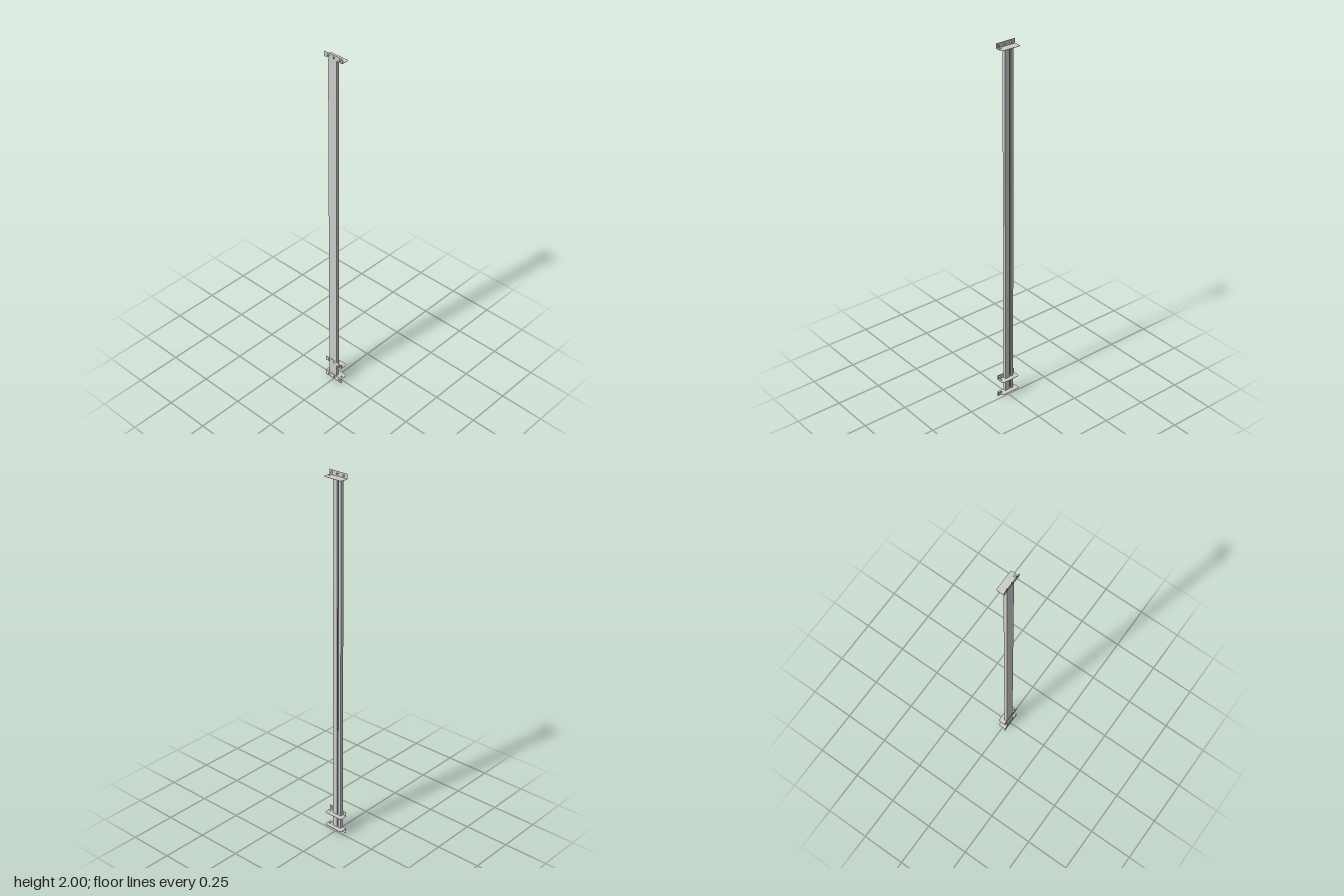
import * as THREE from 'three';

const material = new THREE.MeshStandardMaterial({ color: 0xcccccc, side: THREE.DoubleSide });
const T = 0.0015;         // sheet thickness
const BACK = -0.022;      // rear face of the flanges
const HALF = 0.056;       // half length of a bracket
const HOOKS = [-0.032, 0.005, 0.042];

function part(name, geometry) {
  const mesh = new THREE.Mesh(geometry, material);
  mesh.name = name;
  return mesh;
}

// Extrude an outline given as [x, z] upwards from y0 by height h
function extrudeUp(shape, y0, h) {
  return new THREE.ExtrudeGeometry(shape, { depth: h, bevelEnabled: false, curveSegments: 8 })
    .rotateX(-Math.PI / 2).translate(0, y0, 0);
}

function outline(points) {
  return new THREE.Shape(points.map(([x, z]) => new THREE.Vector2(x, -z)));
}

// Horizontal plate with two rounded corners and one bolt hole
function plate(y) {
  const r = 0.01, x1 = 0.022;
  const s = new THREE.Shape();
  s.moveTo(BACK, -HALF);
  s.lineTo(x1 - r, -HALF);
  s.absarc(x1 - r, -HALF + r, r, -Math.PI / 2, 0, false);
  s.lineTo(x1, HALF - r);
  s.absarc(x1 - r, HALF - r, r, 0, Math.PI / 2, false);
  s.lineTo(BACK, HALF);
  s.closePath();
  s.holes.push(new THREE.Path().absarc(-0.006, -0.044, 0.005, 0, Math.PI * 2, true));
  return part('plate', extrudeUp(s, y, T));
}

// Upright flange with a window for every hook
function flange(y0, y1) {
  const s = new THREE.Shape();
  s.moveTo(-HALF, y0);
  s.lineTo(HALF, y0);
  s.lineTo(HALF, y1);
  s.lineTo(-HALF, y1);
  s.closePath();
  const m = (y0 + y1) / 2, h = 0.005;
  for (const z of HOOKS) {
    s.holes.push(new THREE.Path([
      new THREE.Vector2(z - h, m - h), new THREE.Vector2(z - h, m + h),
      new THREE.Vector2(z + h, m + h), new THREE.Vector2(z + h, m - h)]));
  }
  const g = new THREE.ExtrudeGeometry(s, { depth: T, bevelEnabled: false })
    .rotateY(-Math.PI / 2).translate(BACK + T, 0, 0);
  return part('flange', g);
}

// Small bent tongue pressed out of the flange
function hook(z, y) {
  const s = outline([
    [BACK, z - 0.005], [BACK + T, z - 0.005], [-0.017, z - 0.003],
    [-0.0155, z], [-0.0155, z + 0.005], [-0.017, z + 0.005],
    [-0.017, z + 0.001], [-0.018, z - 0.001]]);
  return part('hook', extrudeUp(s, y - 0.004, 0.008));
}

// Angle bracket: the flange goes from the plate to the free edge
function bracket(name, plateY, edgeY) {
  const g = new THREE.Group();
  g.name = name;
  const y0 = Math.min(plateY, edgeY), y1 = Math.max(plateY, edgeY);
  g.add(plate(edgeY > plateY ? plateY : plateY - T), flange(y0, y1));
  for (const z of HOOKS) g.add(hook(z, (y0 + y1) / 2));
  return g;
}

// Lipped channel, open towards +x through a narrow slot
function post() {
  const a = -0.0205, b = -0.002, z0 = -0.033, z1 = 0.019;
  const s0 = -0.017, s1 = -0.009;
  const s = outline([
    [a, z1], [b, z1], [b, s1], [b - 0.008, s1], [b - 0.008, s1 + T], [b - T, s1 + T],
    [b - T, z1 - T], [a + T, z1 - T], [a + T, z0 + T], [b - T, z0 + T],
    [b - T, s0 - T], [b - 0.008, s0 - T], [b - 0.008, s0], [b, s0], [b, z0], [a, z0]]);
  return part('post', extrudeUp(s, 0.03, 1.945));
}

export function createModel() {
  const model = new THREE.Group();
  model.name = 'uprightPost';
  model.add(
    post(),
    bracket('topBracket', 1.974, 2),
    bracket('middleBracket', 0.106, 0.132),
    bracket('bottomBracket', 0.03, 0));
  return model;
}
